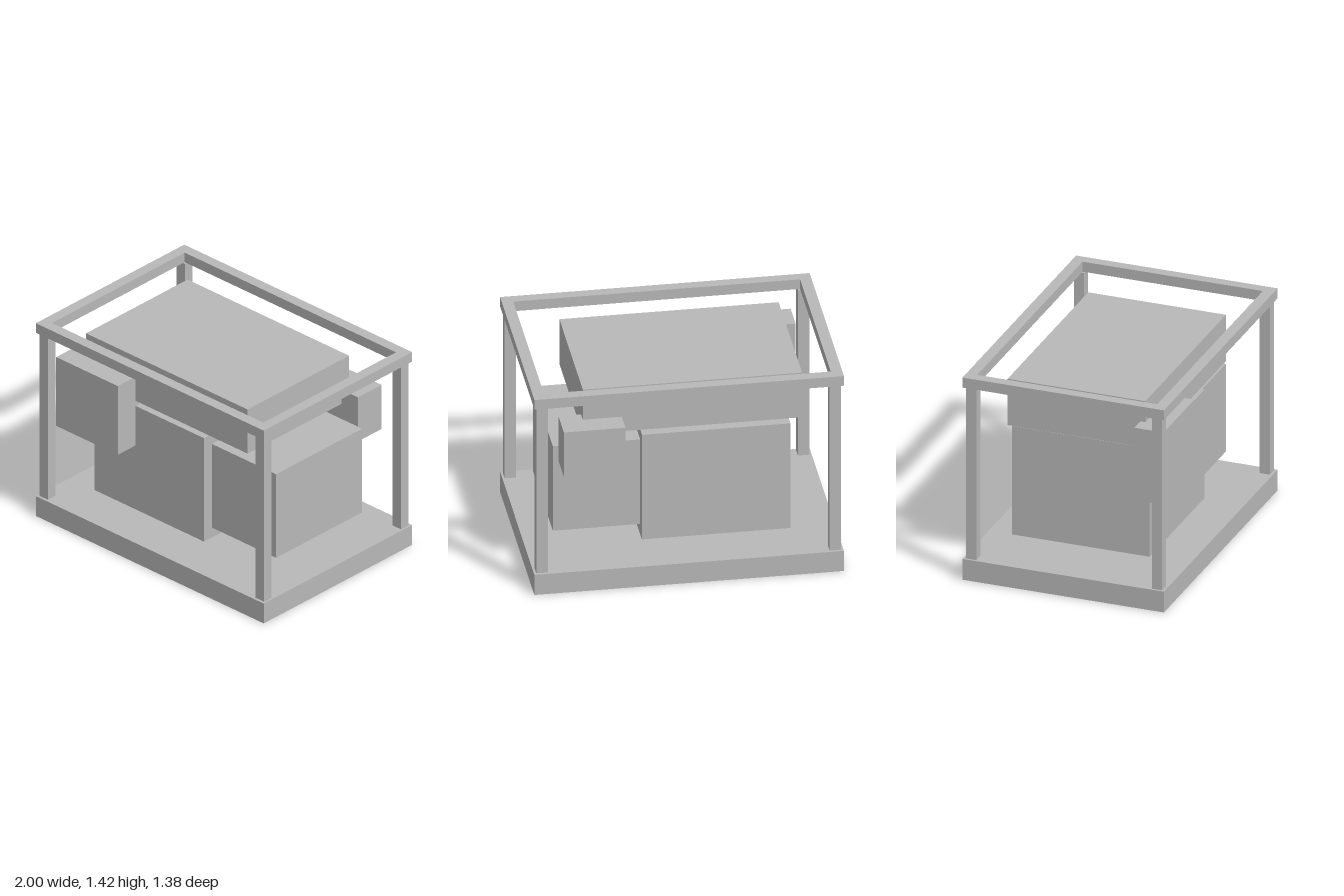
import * as THREE from 'three';

export function createModel() {
  const model = new THREE.Group();
  model.name = 'framedUnit';
  const grey = new THREE.MeshStandardMaterial({ color: 0xb8b8b8 });
  grey.name = 'plain grey';

  // Box given by its [min, max] range on each axis
  const addBox = (name, [x0, x1], [y0, y1], [z0, z1]) => {
    const mesh = new THREE.Mesh(new THREE.BoxGeometry(x1 - x0, y1 - y0, z1 - z0), grey);
    mesh.position.set((x0 + x1) / 2, (y0 + y1) / 2, (z0 + z1) / 2);
    mesh.name = name;
    model.add(mesh);
  };

  // Base slab
  addBox('base', [-1, 1], [0, 0.146], [-0.69, 0.69]);

  // Four corner posts
  for (const sx of [-1, 1]) {
    for (const sz of [-1, 1]) {
      const x = sx * 0.948, z = sz * 0.636;
      addBox(`${sz > 0 ? 'front' : 'back'}${sx > 0 ? 'Left' : 'Right'}Post`,
        [x - 0.037, x + 0.037], [0.146, 1.35], [z - 0.035, z + 0.035]);
    }
  }

  // Open rectangular top frame
  const rectangle = (path, w, d) =>
    path.moveTo(-w, -d).lineTo(w, -d).lineTo(w, d).lineTo(-w, d).closePath();
  const outline = rectangle(new THREE.Shape(), 1, 0.69);
  outline.holes.push(rectangle(new THREE.Path(), 0.927, 0.617));
  const frame = new THREE.Mesh(
    new THREE.ExtrudeGeometry(outline, { depth: 0.07, bevelEnabled: false }), grey);
  frame.rotation.x = -Math.PI / 2;
  frame.position.y = 1.35;
  frame.name = 'topFrame';
  model.add(frame);

  // Equipment blocks held inside the frame
  addBox('mainBlock', [-0.69, 0.27], [0.222, 0.984], [-0.472, 0.472]);
  addBox('sideBlock', [0.27, 0.835], [0.296, 0.912], [-0.4, 0.4]);
  addBox('upperBlock', [-0.765, 0.652], [1.022, 1.347], [-0.472, 0.472]);
  addBox('frontPanelBox', [-0.87, -0.33], [0.693, 1.2], [0.437, 0.638]);
  addBox('rearBox', [0.4, 0.798], [0.803, 1.128], [-0.62, -0.4]);

  return model;
}
